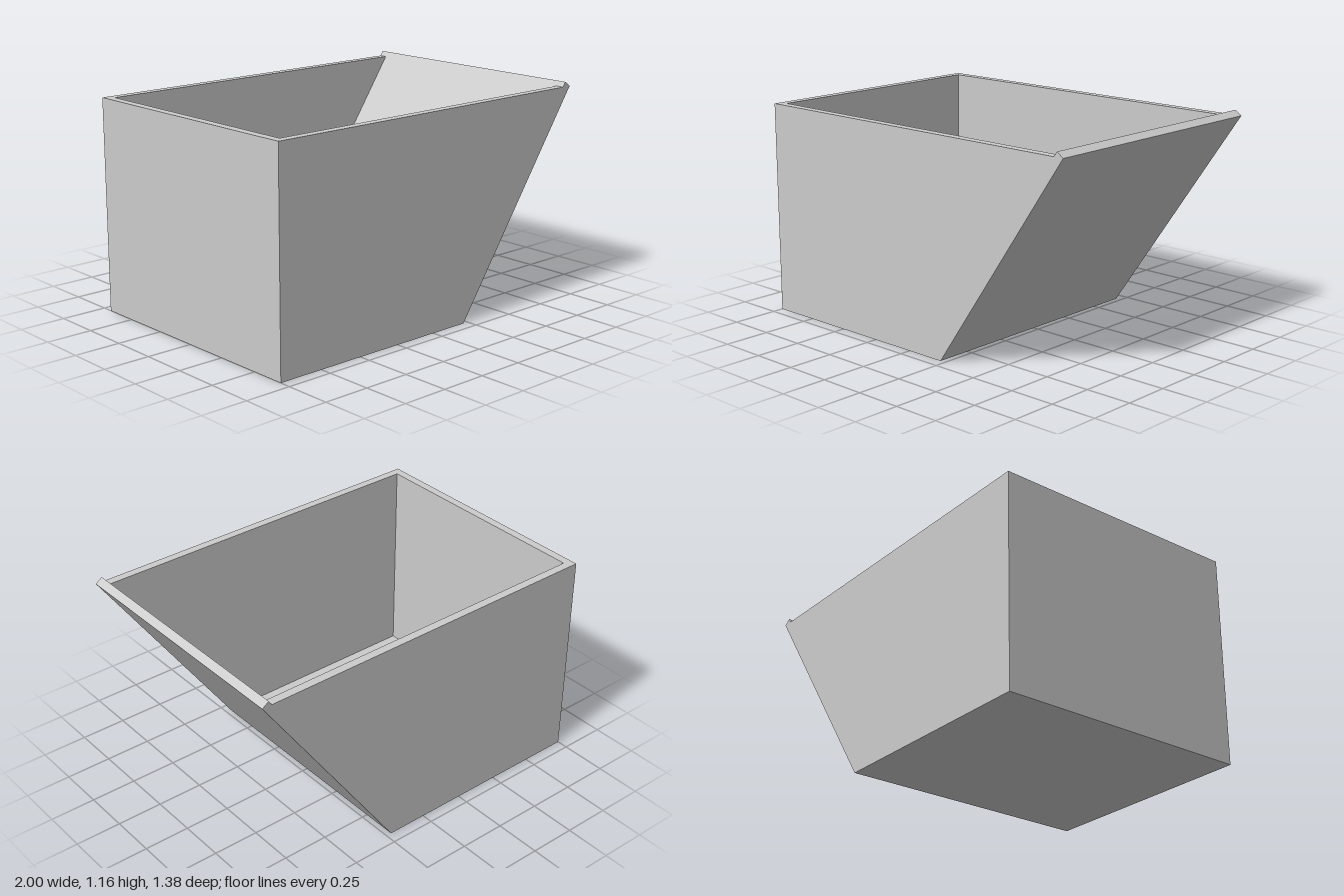
import * as THREE from 'three';

const H = 1.135;      // rim height
const W = 0.69;       // half width
const T = 0.045;      // panel thickness
const FOOT = 0.22;    // where the slope meets the ground

// Inner face of the sloping panel: x at height y
const run = (1 - FOOT) / H;
const innerX = (y) => FOOT - T * Math.hypot(1, run) + run * y;

export function createModel() {
  const group = new THREE.Group();
  const material = new THREE.MeshStandardMaterial({ color: 0xcccccc, flatShading: true });

  // A panel with an xy outline, extruded from z0 to z1
  function panel(name, outline, z0, z1) {
    const shape = new THREE.Shape(outline.map(([x, y]) => new THREE.Vector2(x, y)));
    const geometry = new THREE.ExtrudeGeometry(shape, { depth: z1 - z0, bevelEnabled: false });
    geometry.translate(0, 0, z0);
    const mesh = new THREE.Mesh(geometry, material);
    mesh.name = name;
    group.add(mesh);
  }

  // Side walls, cut to the slope
  const side = [[-1, 0], [innerX(0), 0], [innerX(H), H], [-1, H]];
  panel('frontWall', side, W - T, W);
  panel('rearWall', side, -W, -W + T);

  // Floor and upright end wall between the sides
  const inner = W - T;
  panel('floor', [[-1, 0], [innerX(0), 0], [innerX(T), T], [-1, T]], -inner, inner);
  panel('endWall', [[-1, T], [-1 + T, T], [-1 + T, H], [-1, H]], -inner, inner);

  // Sloping panel with a square-cut top edge that stands above the rim
  const len = Math.hypot(1, run);
  const tip = [1 - T / len, H + (T * run) / len];
  panel('slopingWall', [[innerX(0), 0], [FOOT, 0], [1, H], tip], -W, W);

  return group;
}
